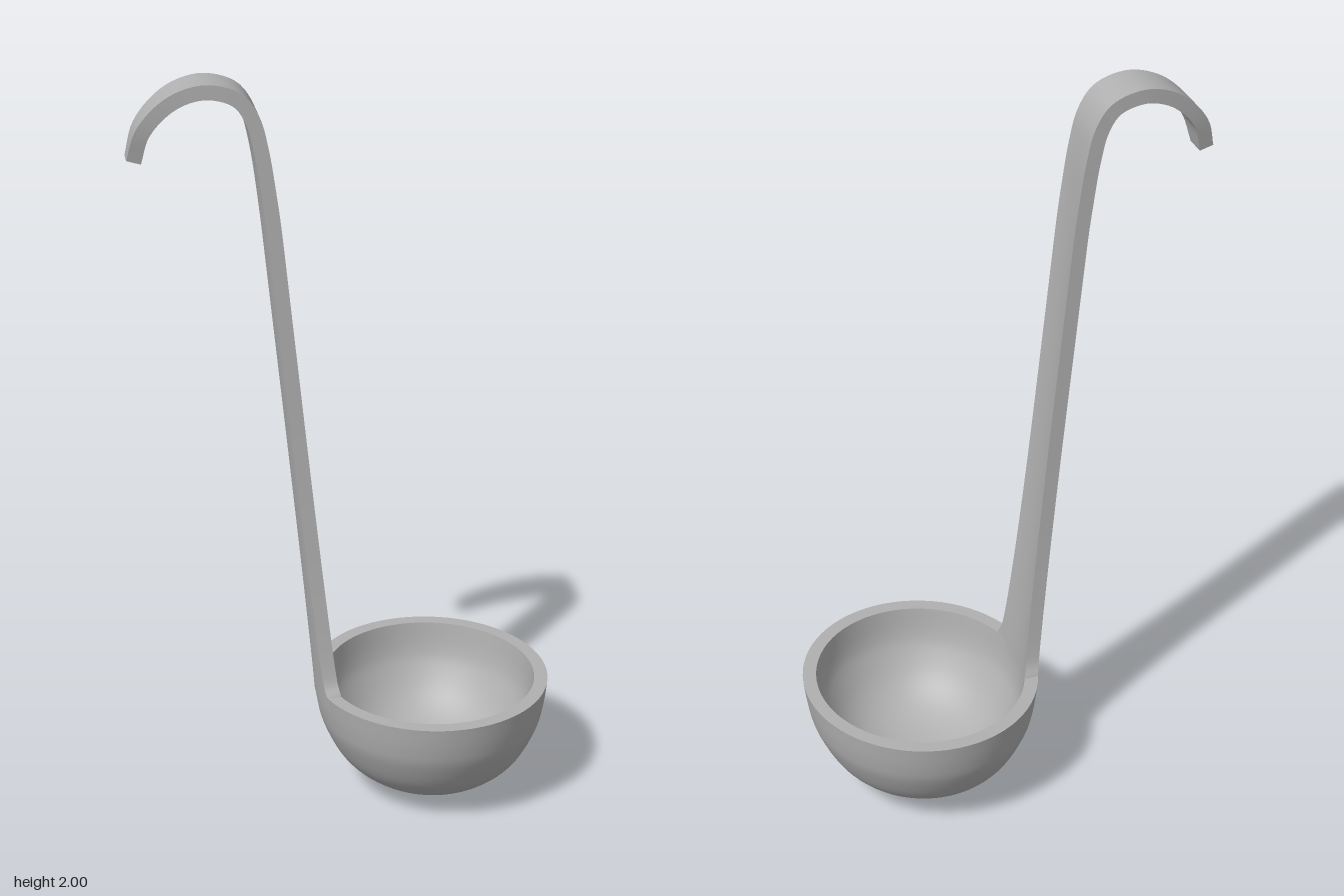
import * as THREE from 'three';

const steel = new THREE.MeshStandardMaterial({ color: 0xb0b0b0 });
steel.name = 'brushed grey';

const RX = 0.32, RZ = 0.35, BOWL_X = 0.235;

function part(name, geometry) {
  const mesh = new THREE.Mesh(geometry, steel);
  mesh.name = name;
  return mesh;
}

// Smooth surface of revolution through a few profile points
function lathe(name, points, samples) {
  const curve = new THREE.SplineCurve(points.map(([r, y]) => new THREE.Vector2(r, y)));
  const profile = curve.getPoints(samples);
  profile.forEach((p) => { p.x = Math.max(p.x, 0); });
  return part(name, new THREE.LatheGeometry(profile, 72));
}

// Smooth grid from rows of points
function grid(rows) {
  const cols = rows[0].length, index = [];
  for (let i = 0; i < rows.length - 1; i++) {
    for (let j = 0; j < cols - 1; j++) {
      const a = i * cols + j, b = a + 1, c = a + cols, d = c + 1;
      index.push(a, b, d, a, d, c);
    }
  }
  const geometry = new THREE.BufferGeometry().setFromPoints(rows.flat());
  geometry.setIndex(index);
  geometry.computeVertexNormals();
  return geometry;
}

function makeBowl() {
  const bowl = new THREE.Group();
  bowl.name = 'bowl';
  bowl.add(lathe('bowlOutside', [[0, 0], [0.07, 0.003], [0.14, 0.019], [0.215, 0.055],
    [0.278, 0.11], [0.323, 0.19], [0.34, 0.25], [0.35, 0.32]], 40));
  bowl.add(lathe('bowlRim', [[0.35, 0.32], [0.31, 0.32]], 1));
  bowl.add(lathe('bowlInside', [[0.31, 0.32], [0.3, 0.25], [0.283, 0.2], [0.242, 0.135],
    [0.19, 0.088], [0.125, 0.057], [0.06, 0.043], [0, 0.04]], 40));
  bowl.scale.x = RX / RZ;
  bowl.position.x = BOWL_X;
  return bowl;
}

function makeHandle() {
  const handle = new THREE.Group();
  handle.name = 'handle';

  // Centre line: x, y and half width, from the bowl wall up to the hook tip
  const path = new THREE.CatmullRomCurve3([
    [-0.063, 0.285, 0.125], [-0.066, 0.32, 0.118], [-0.068, 0.345, 0.104], [-0.072, 0.39, 0.095],
    [-0.092, 0.6, 0.079], [-0.122, 0.9, 0.069], [-0.163, 1.3, 0.066], [-0.205, 1.7, 0.065],
    [-0.222, 1.83, 0.065], [-0.241, 1.905, 0.065], [-0.277, 1.957, 0.065], [-0.35, 1.98, 0.064],
    [-0.415, 1.967, 0.06], [-0.467, 1.934, 0.055], [-0.515, 1.875, 0.046], [-0.537, 1.8, 0.03],
  ].map((p) => new THREE.Vector3(...p)));

  const N = 150, M = 10, half = 0.019;
  const back = [], front = [];
  for (let i = 0; i <= N; i++) {
    const p = path.getPointAt(i / N), t = path.getTangentAt(i / N);
    const len = Math.hypot(t.x, t.y);
    const nx = t.y / len, ny = -t.x / len; // towards the bowl side
    const bend = 1 - THREE.MathUtils.smoothstep(p.y, 1.6, 1.9);
    const b = [], f = [];
    for (let j = 0; j <= M; j++) {
      const z = p.z * (2 * j / M - 1);
      // Follow the curve of the bowl wall across the width
      const bulge = bend * RX * (1 - Math.sqrt(1 - (z / RZ) ** 2));
      b.push(new THREE.Vector3(p.x - nx * half + bulge, p.y - ny * half, z));
      f.push(new THREE.Vector3(p.x + nx * half + bulge, p.y + ny * half, z));
    }
    back.push(b);
    front.push(f);
  }

  handle.add(part('handleBack', grid(back)));
  handle.add(part('handleFront', grid(front.map((r) => [...r].reverse()))));
  handle.add(part('handleLeftEdge', grid(back.map((r, i) => [r[M], front[i][M]]))));
  handle.add(part('handleRightEdge', grid(back.map((r, i) => [front[i][0], r[0]]))));
  handle.add(part('hookTip', grid([back[N], front[N]])));
  handle.add(part('handleRoot', grid([front[0], back[0]])));
  return handle;
}

export function createModel() {
  const ladle = new THREE.Group();
  ladle.name = 'ladle';
  ladle.add(makeBowl(), makeHandle());
  return ladle;
}
